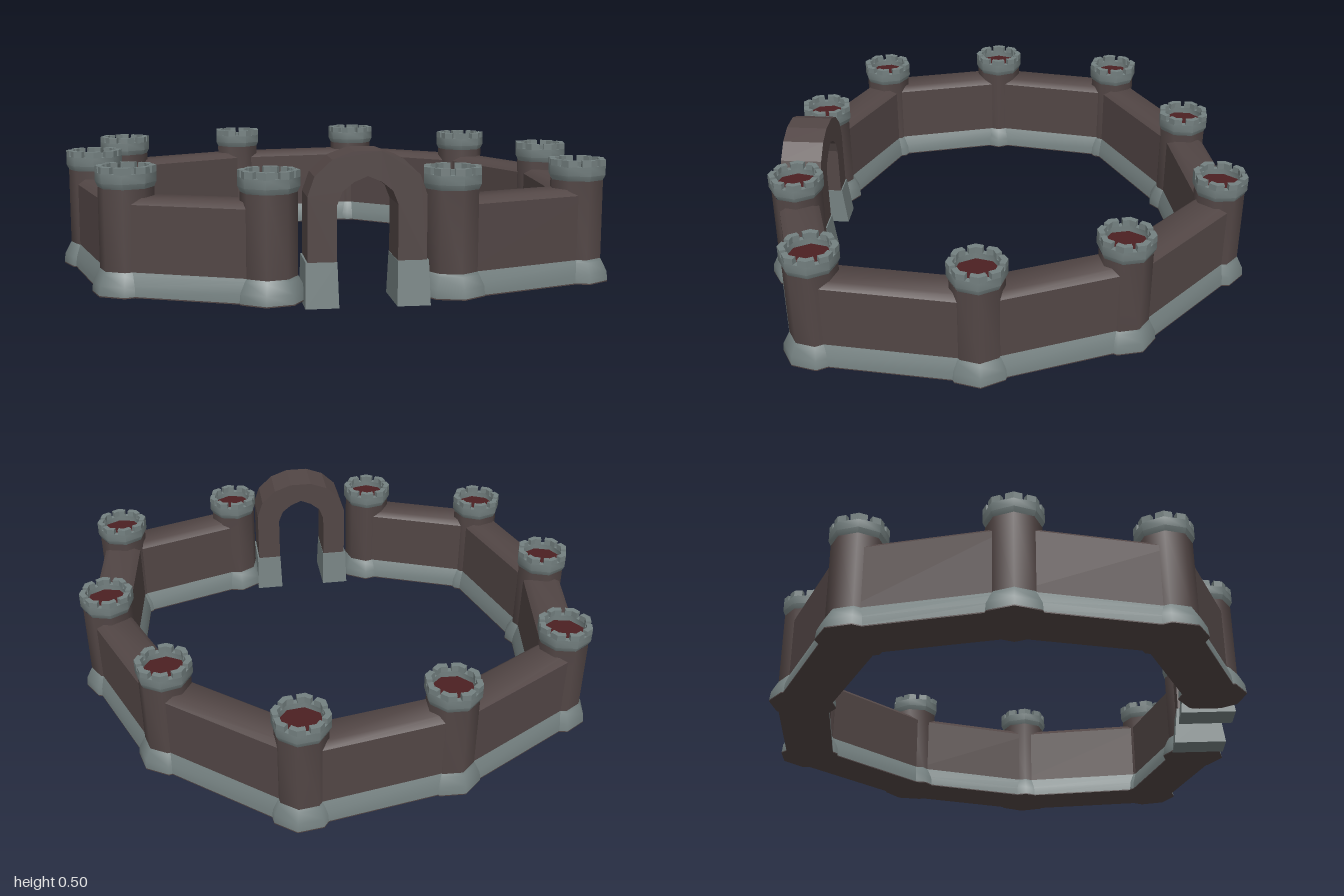
import * as THREE from 'three';
import { toCreasedNormals } from 'three/addons/utils/BufferGeometryUtils.js';

const mat = (name, color) => {
  const m = new THREE.MeshStandardMaterial({ color });
  m.name = name;
  return m;
};

export function createModel() {
  const brown = mat('brownStone', 0x524645);
  const grey = mat('greyStone', 0x748080);
  const red = mat('redFloor', 0x4c2022);
  const root = new THREE.Group();
  root.name = 'castleWall';

  const add = (parent, name, geo, material) => {
    const m = new THREE.Mesh(geo, material);
    m.name = name;
    parent.add(m);
    return m;
  };
  const poly = (pts) => new THREE.Shape(pts.map(([x, y]) => new THREE.Vector2(x, y)));
  const lathe = (pts) => toCreasedNormals(
    new THREE.LatheGeometry(pts.map(([r, y]) => new THREE.Vector2(r, y)), 8), 0.85);

  // Tower centres (x, z) around the ring; the gate lies between towers 4 and 5
  const towers = [
    [0.07, -0.83], [0.56, -0.545], [0.84, -0.095], [0.875, 0.47], [0.42, 0.705],
    [-0.18, 0.815], [-0.665, 0.71], [-0.885, 0.24], [-0.885, -0.295], [-0.445, -0.65],
  ];
  const n = towers.length;

  // Tower parts, shared by all towers
  const towerBase = lathe([[0.122, 0.016], [0.118, 0.05], [0.1, 0.085], [0.094, 0.095]]);
  const towerBody = lathe([[0.094, 0.095], [0.094, 0.37]]);
  const crown = lathe([[0.092, 0.368], [0.102, 0.388], [0.102, 0.42], [0.08, 0.42], [0.08, 0.39]]);
  const floor = new THREE.CylinderGeometry(0.082, 0.082, 0.008, 8);
  const underside = new THREE.CylinderGeometry(0.122, 0.122, 0.004, 8);

  // Merlon wrapped round one corner of the octagonal crown
  const half = THREE.MathUtils.degToRad(17.5);
  const edge = Math.cos(Math.PI / 8) / Math.cos(Math.PI / 8 - half);
  const at = (r, a) => [r * Math.cos(a), r * Math.sin(a)];
  const merlon = new THREE.ExtrudeGeometry(poly([
    at(0.102 * edge, -half), at(0.102, 0), at(0.102 * edge, half),
    at(0.08 * edge, half), at(0.08, 0), at(0.08 * edge, -half),
  ]), { depth: 0.024, bevelEnabled: false }).rotateX(-Math.PI / 2);

  towers.forEach(([x, z], i) => {
    const [px, pz] = towers[(i + n - 1) % n];
    const [qx, qz] = towers[(i + 1) % n];
    const t = new THREE.Group();
    t.name = 'tower';
    t.position.set(x, 0, z);
    t.rotation.y = Math.atan2(qx - px, qz - pz);
    add(t, 'towerUnderside', underside, brown).position.y = 0.016;
    add(t, 'towerBase', towerBase, grey);
    add(t, 'towerBody', towerBody, brown);
    add(t, 'towerCrown', crown, grey);
    add(t, 'towerFloor', floor, red).position.y = 0.394;
    for (let k = 0; k < 8; k++) {
      const m = add(t, 'merlon', merlon, grey);
      m.position.y = 0.418;
      m.rotation.y = (k * Math.PI) / 4;
    }
    root.add(t);
  });

  // Wall sections: mirrored profile swept from tower to tower
  const mirror = (pts) => poly([...pts, ...pts.slice().reverse().map(([x, y]) => [-x, y])]);
  const baseShape = mirror([[0.093, 0.018], [0.09, 0.05], [0.077, 0.085], [0.073, 0.095]]);
  const bodyShape = mirror([[0.073, 0.095], [0.073, 0.32], [0.05, 0.34]]);
  const underShape = mirror([[0.093, 0.014], [0.093, 0.018]]);
  towers.forEach(([x, z], i) => {
    if (i === 4) return;
    const [qx, qz] = towers[(i + 1) % n];
    const opts = { depth: Math.hypot(qx - x, qz - z), bevelEnabled: false };
    const w = new THREE.Group();
    w.name = 'wallSection';
    w.position.set(x, 0, z);
    w.rotation.y = Math.atan2(qx - x, qz - z);
    const sweep = (s) => toCreasedNormals(new THREE.ExtrudeGeometry(s, opts), 0.8);
    add(w, 'wallUnderside', sweep(underShape), brown);
    add(w, 'wallBase', sweep(baseShape), grey);
    add(w, 'wallBody', sweep(bodyShape), brown);
    root.add(w);
  });

  // Gate: arch with pointed opening on two tapered feet
  const gate = new THREE.Group();
  gate.name = 'gate';
  gate.position.set(0.127, 0, 0.762);
  gate.rotation.y = 0.16;
  const outer = [[0.195, 0.145], [0.195, 0.36], [0.172, 0.425], [0.115, 0.478], [0.045, 0.504]];
  const inner = [[0.1, 0.145], [0.1, 0.33], [0.082, 0.375], [0.045, 0.405]];
  const flip = (pts) => pts.map(([x, y]) => [-x, y]);
  const archShape = poly([
    ...outer, ...flip(outer).reverse(),
    ...flip(inner), [0, 0.424], ...inner.slice().reverse(),
  ]);
  const archGeo = new THREE.ExtrudeGeometry(archShape, { depth: 0.155, bevelEnabled: false });
  archGeo.translate(0, 0, -0.0775);
  add(gate, 'gateArch', toCreasedNormals(archGeo, 0.3), brown);

  const footGeo = new THREE.BoxGeometry(0.11, 0.147, 0.2);
  const p = footGeo.attributes.position;
  for (let i = 0; i < p.count; i++) {
    if (p.getY(i) > 0) p.setXYZ(i, p.getX(i) * 0.93, p.getY(i), p.getZ(i) * 0.82);
  }
  footGeo.computeVertexNormals();
  for (const s of [-1, 1]) {
    add(gate, 'gateFoot', footGeo, grey).position.set(s * 0.15, 0.0735, 0);
  }
  root.add(gate);
  return root;
}
